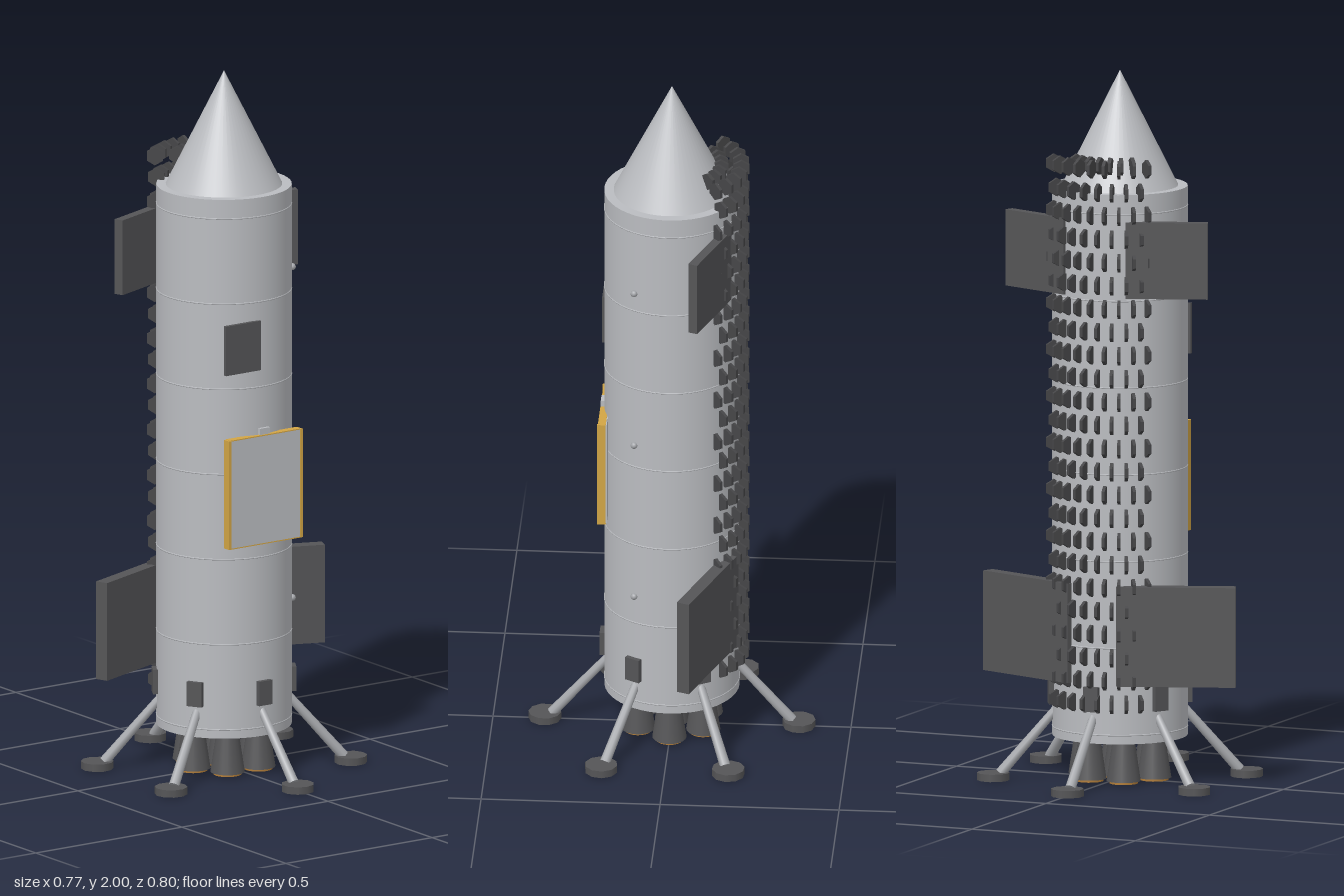
import * as THREE from 'three';
import { mergeGeometries } from 'three/addons/utils/BufferGeometryUtils.js';

const material = (name, color) => {
  const m = new THREE.MeshStandardMaterial({ color });
  m.name = name;
  return m;
};

export function createModel() {
  const model = new THREE.Group();
  model.name = 'rocket';
  const steel = material('steel', 0xbabcc0);
  const strutGrey = material('strut grey', 0xa4a6aa);
  const dark = material('dark grey', 0x555557);
  const tileBlack = material('tile charcoal', 0x464648);
  const gold = material('gold', 0xd2a545);
  const bronze = material('nozzle bronze', 0xb07c38);

  const add = (name, geometry, mat, x = 0, y = 0, z = 0, parent = model) => {
    const mesh = new THREE.Mesh(geometry, mat);
    mesh.name = name;
    mesh.position.set(x, y, z);
    parent.add(mesh);
    return mesh;
  };
  const box = (w, h, d) => new THREE.BoxGeometry(w, h, d);

  // Hull and nose
  add('hull', new THREE.CylinderGeometry(0.189, 0.189, 1.55, 48), steel, 0, 0.9, 0);
  add('noseCone', new THREE.ConeGeometry(0.163, 0.326, 48), steel, 0, 1.837, 0);
  for (let i = 0; i < 7; i++) {
    const seam = add('weldSeam', new THREE.TorusGeometry(0.188, 0.0025, 6, 48), steel, 0, 1.62 - i * 0.245, 0);
    seam.rotation.x = Math.PI / 2;
  }

  // Heat shield: staggered rows of hexagonal tiles standing on edge across the back
  const tiles = [];
  const addTile = (angle, radius, y, size, thickness) => {
    const g = new THREE.CylinderGeometry(size, size, thickness, 6).toNonIndexed();
    g.rotateX(Math.PI / 2); // vertices up and down
    g.rotateY(Math.PI / 2); // axis along the hull's tangent
    g.translate(0, y, -radius);
    g.rotateY(angle);
    tiles.push(g);
  };
  const step = THREE.MathUtils.degToRad(11.75);
  for (let row = 0; row < 24; row++) {
    const count = row % 2 ? 9 : 8;
    for (let i = 0; i < count; i++) {
      addTile((i - (count - 1) / 2) * step, 0.194, 0.238 + row * 0.0656, 0.026, 0.009);
    }
  }
  // Short row beside the nose
  for (let i = -3; i <= 3; i++) addTile(i * 0.225, 0.136, 1.747, 0.025, 0.011);
  // Turn each tile so its prism axis follows the tangent with crisp faces
  const shield = mergeGeometries(tiles);
  shield.computeVertexNormals();
  add('heatShieldTiles', shield, tileBlack);

  // Swept flaps, mirrored
  for (const s of [1, -1]) {
    const lower = add('lowerFlap', box(0.333, 0.281, 0.037), dark, s * 0.2235, 0.431, -0.1145);
    const upper = add('upperFlap', box(0.23, 0.215, 0.027), dark, s * 0.197, 1.491, -0.119);
    lower.rotation.y = upper.rotation.y = -s * 0.362;
  }

  // Landing legs, six around
  const up = new THREE.Vector3(0, 1, 0);
  for (let i = 0; i < 6; i++) {
    const leg = new THREE.Group();
    leg.name = 'landingLeg';
    leg.rotation.y = (i * Math.PI) / 3;
    model.add(leg);
    const top = new THREE.Vector3(0, 0.2, 0.178);
    const foot = new THREE.Vector3(0, 0.02, 0.335);
    const dir = top.clone().sub(foot);
    const mid = top.clone().add(foot).multiplyScalar(0.5);
    const strut = add('strut', new THREE.CylinderGeometry(0.012, 0.015, dir.length(), 10), strutGrey, mid.x, mid.y, mid.z, leg);
    strut.quaternion.setFromUnitVectors(up, dir.normalize());
    add('footPad', new THREE.CylinderGeometry(0.046, 0.046, 0.021, 10), dark, 0, 0.0115, 0.355, leg);
    add('legMount', box(0.045, 0.07, 0.028), dark, 0, 0.25, 0.187, leg);
  }

  // Engine cluster: one centre nozzle and six around it
  for (let i = 0; i < 7; i++) {
    const r = i ? 0.105 : 0;
    const a = (i * Math.PI) / 3;
    const x = r * Math.cos(a);
    const z = r * Math.sin(a);
    add('nozzle', new THREE.CylinderGeometry(0.03, 0.048, 0.12, 20), dark, x, 0.07, z);
    add('nozzleExit', new THREE.CylinderGeometry(0.04, 0.04, 0.008, 20), bronze, x, 0.007, z);
  }

  // Cargo door with gold side rails and a hoist above it
  add('cargoDoor', box(0.238, 0.308, 0.025), steel, 0, 0.836, 0.1865);
  for (const s of [1, -1]) {
    add('doorRail', box(0.008, 0.312, 0.024), gold, s * 0.122, 0.836, 0.1895);
    add('doorTrim', box(0.238, 0.003, 0.022), gold, 0, 0.836 + s * 0.1555, 0.188);
  }
  add('hoist', box(0.034, 0.018, 0.02), steel, 0, 1.003, 0.188);

  // Window panel
  add('windowPanel', box(0.119, 0.142, 0.011), dark, -0.0725, 1.251, 0.1905);

  // Side thrusters
  for (const y of [0.478, 0.953, 1.43]) {
    add('thruster', new THREE.SphereGeometry(0.01, 10, 8), strutGrey, 0.166, y, 0.095);
  }
  return model;
}
